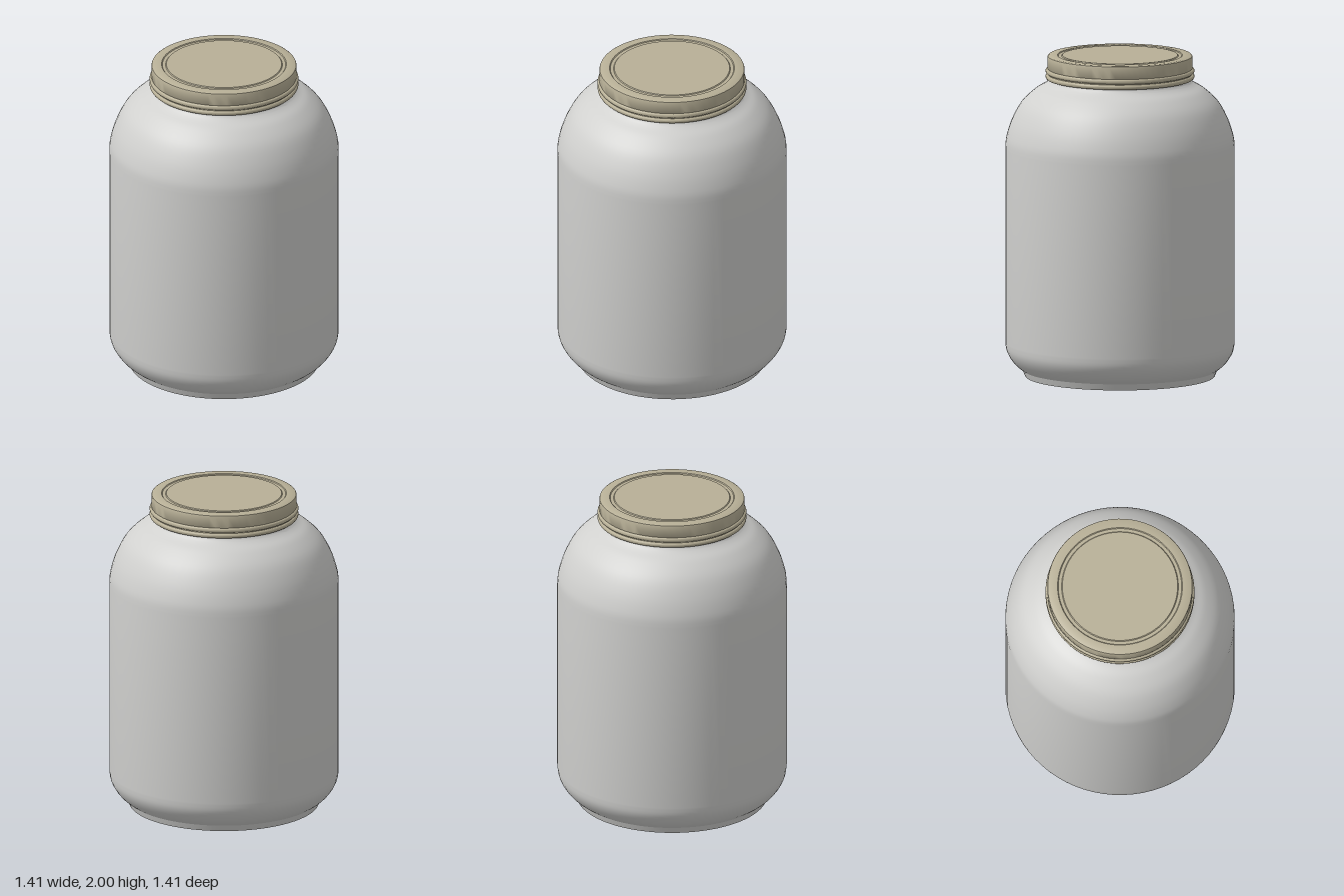
import * as THREE from 'three';
import { toCreasedNormals } from 'three/addons/utils/BufferGeometryUtils.js';

const SEGMENTS = 72;
const v = (r, y) => new THREE.Vector2(r, y);

const bodyMaterial = new THREE.MeshStandardMaterial({ color: 0xd0d0ce });
bodyMaterial.name = 'pale grey jar';
const lidMaterial = new THREE.MeshStandardMaterial({ color: 0xb8b097 });
lidMaterial.name = 'beige lid';

// Spin a bottom-to-top profile around y, keeping hard edges sharp
function turned(name, points, material) {
  const geometry = toCreasedNormals(new THREE.LatheGeometry(points, SEGMENTS), 0.6);
  const mesh = new THREE.Mesh(geometry, material);
  mesh.name = name;
  return mesh;
}

// Smooth run of profile points through [radius, y] pairs
const smooth = (pairs, n) => new THREE.SplineCurve(pairs.map(([r, y]) => v(r, y))).getPoints(n);

// Half-round bead on the lid skirt
function bead(y, radius, bulge, half) {
  const points = [];
  for (let i = 0; i <= 8; i++) {
    const a = -Math.PI / 2 + (i / 8) * Math.PI;
    points.push(v(radius + bulge * Math.cos(a), y + half * Math.sin(a)));
  }
  return points;
}

export function createModel() {
  const jar = new THREE.Group();
  jar.name = 'jar';

  // Foot: recessed underside and standing ring
  jar.add(turned('foot', [
    v(0, 0.05), v(0.473, 0.05), v(0.52, 0), v(0.585, 0), v(0.59, 0.012), v(0.601, 0.04),
  ], bodyMaterial));

  // Body: rounded base, straight wall, domed shoulder and neck
  jar.add(turned('body', [
    ...smooth([[0.601, 0.04], [0.645, 0.075], [0.68, 0.12], [0.7, 0.165], [0.707, 0.215]], 14),
    ...smooth([[0.707, 1.42], [0.7, 1.49], [0.667, 1.595], [0.61, 1.7], [0.53, 1.778],
      [0.465, 1.818], [0.437, 1.842], [0.43, 1.87]], 32),
  ], bodyMaterial));

  // Lid: two beads, plain skirt, and a shallow ring groove on top
  jar.add(turned('lid', [
    v(0.425, 1.852),
    ...bead(1.867, 0.446, 0.013, 0.015),
    ...bead(1.902, 0.446, 0.013, 0.015),
    v(0.448, 1.92), v(0.448, 1.986), v(0.445, 1.995), v(0.437, 2),
    v(0.385, 2), v(0.38, 1.995), v(0.36, 1.995), v(0.355, 2), v(0, 2),
  ], lidMaterial));

  return jar;
}
